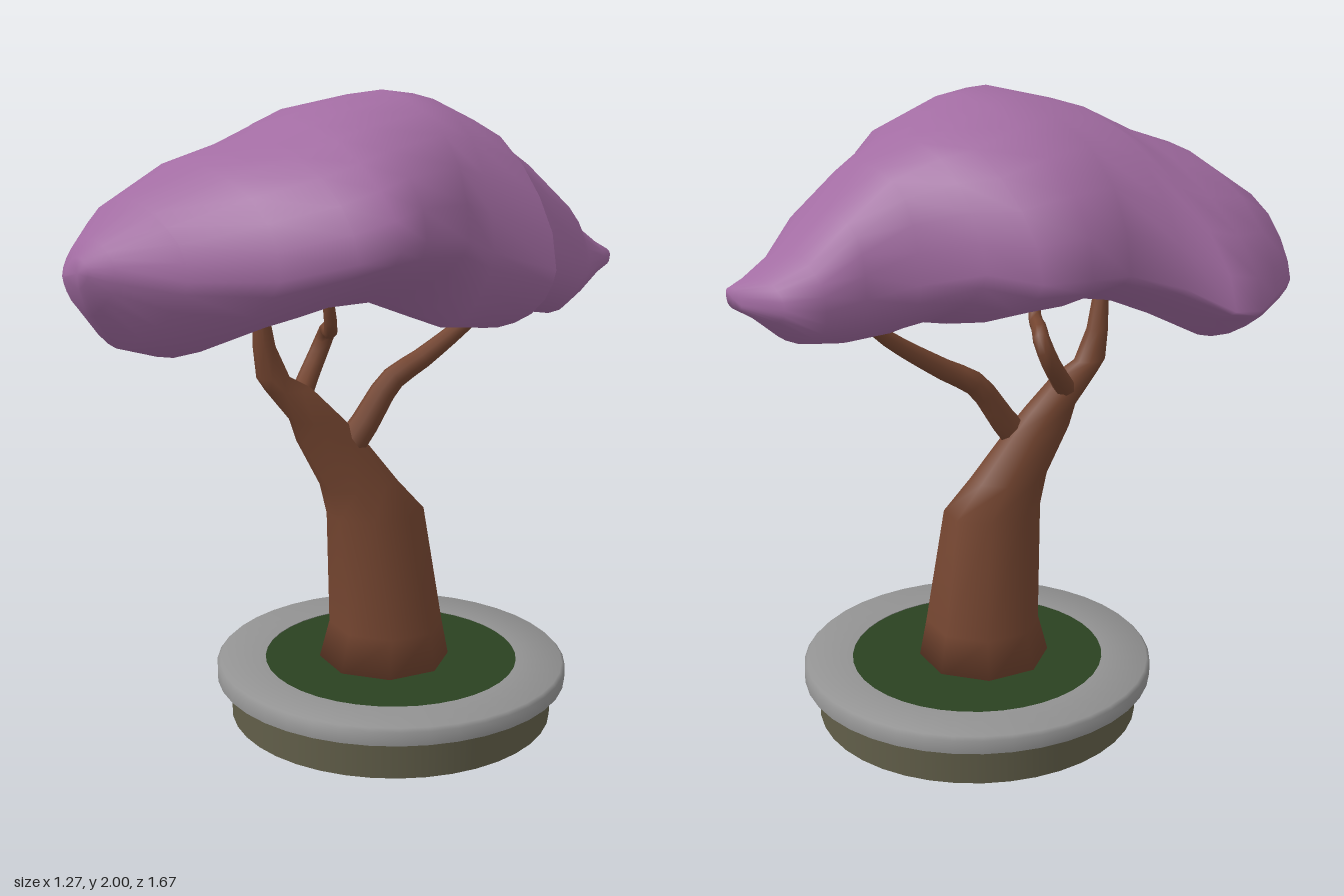
import * as THREE from 'three';
import { toCreasedNormals } from 'three/addons/utils/BufferGeometryUtils.js';

const mat = (name, color) => {
  const m = new THREE.MeshStandardMaterial({ color });
  m.name = name;
  return m;
};

// Skin a list of rings (arrays of Vector3) and close both ends
function loft(rings) {
  const n = rings[0].length, pos = [], idx = [];
  rings.forEach(r => r.forEach(p => pos.push(p.x, p.y, p.z)));
  for (let i = 0; i < rings.length - 1; i++) {
    for (let j = 0; j < n; j++) {
      const a = i * n + j, b = i * n + (j + 1) % n;
      idx.push(a, b, b + n, a, b + n, a + n);
    }
  }
  [0, rings.length - 1].forEach((i, end) => {
    const c = new THREE.Vector3();
    rings[i].forEach(p => c.addScaledVector(p, 1 / n));
    const k = pos.length / 3;
    pos.push(c.x, c.y, c.z);
    for (let j = 0; j < n; j++) {
      const a = i * n + j, b = i * n + (j + 1) % n;
      if (end) idx.push(a, b, k); else idx.push(b, a, k);
    }
  });
  const g = new THREE.BufferGeometry();
  g.setAttribute('position', new THREE.Float32BufferAttribute(pos, 3));
  g.setIndex(idx);
  g.computeVertexNormals();
  return g;
}

// Tube along points, narrowing from r0 to r1
function branchGeometry(points, r0, r1) {
  const curve = new THREE.CatmullRomCurve3(points.map(p => new THREE.Vector3(...p)), false, 'centripetal');
  const segs = 14, sides = 8;
  const g = new THREE.TubeGeometry(curve, segs, 1, sides);
  const p = g.attributes.position, v = new THREE.Vector3();
  for (let i = 0; i < p.count; i++) {
    const t = Math.floor(i / (sides + 1)) / segs, c = curve.getPointAt(t);
    v.fromBufferAttribute(p, i).sub(c).multiplyScalar(r0 + (r1 - r0) * t).add(c);
    p.setXYZ(i, v.x, v.y, v.z);
  }
  return g;
}

// Trunk rings: x, y, z, half width, half depth
const TRUNK = [
  [0.052, 0.16, -0.092, 0.215, 0.215],
  [0.056, 0.3, -0.095, 0.188, 0.181],
  [0.051, 0.68, -0.055, 0.133, 0.167],
  [0.035, 0.78, 0, 0.105, 0.133],
  [0, 0.93, 0.09, 0.08, 0.114],
  [-0.01, 1.0, 0.135, 0.071, 0.087],
  [-0.035, 1.1, 0.22, 0.059, 0.077],
  [-0.05, 1.14, 0.265, 0.046, 0.053],
  [-0.052, 1.24, 0.295, 0.036, 0.034],
  [-0.05, 1.38, 0.312, 0.022, 0.022],
];

// Canopy slices: z, then x and y of the -x edge, +x edge, top and bottom
const CANOPY = [
  [-0.835, 0.2, 1.44, 0.29, 1.46, 0.26, 1.48, 0.25, 1.42],
  [-0.79, 0.04, 1.45, 0.305, 1.46, 0.18, 1.515, 0.2, 1.39],
  [-0.71, -0.05, 1.45, 0.32, 1.45, 0.13, 1.585, 0.18, 1.32],
  [-0.57, -0.04, 1.46, 0.43, 1.48, 0.15, 1.69, 0.22, 1.29],
  [-0.45, -0.13, 1.5, 0.43, 1.52, 0.15, 1.81, 0.22, 1.31],
  [-0.33, -0.28, 1.54, 0.53, 1.52, 0.13, 1.88, 0.27, 1.315],
  [-0.26, -0.44, 1.53, 0.62, 1.5, 0.13, 1.92, 0.33, 1.29],
  [-0.12, -0.49, 1.53, 0.51, 1.55, 0.14, 1.985, 0.28, 1.3],
  [0.03, -0.48, 1.52, 0.57, 1.6, 0.18, 2.0, 0.1, 1.375],
  [0.22, -0.51, 1.46, 0.615, 1.62, 0.1, 1.955, 0, 1.355],
  [0.31, -0.63, 1.4, 0.62, 1.6, 0.05, 1.915, -0.07, 1.335],
  [0.41, -0.64, 1.39, 0.57, 1.57, 0, 1.865, -0.16, 1.29],
  [0.56, -0.56, 1.4, 0.42, 1.52, -0.08, 1.81, -0.24, 1.21],
  [0.69, -0.5, 1.42, 0.17, 1.5, -0.18, 1.7, -0.25, 1.25],
  [0.79, -0.38, 1.46, -0.05, 1.5, -0.2, 1.59, -0.22, 1.36],
  [0.835, -0.27, 1.48, -0.13, 1.5, -0.19, 1.54, -0.19, 1.45],
];

// How pointed a slice is in one quarter: blunt at the back, leaner below the front
function quarterPower(z, up, right) {
  if (z < -0.4) return 0.9;
  if (up) return !right && z > 0.28 ? 1.2 : 1.02;
  return right && z > 0.28 ? 1.4 : 1.25;
}

// One slice: four rounded quarters between its extreme points, with soft lumps
function canopyRing([z, xl, yl, xr, yr, xt, yt, xb, yb]) {
  const n = 24, ring = [];
  for (let j = 0; j < n; j++) {
    const a = (j / n) * Math.PI * 2;
    const up = Math.sin(a) >= 0, right = Math.cos(a) >= 0;
    const power = quarterPower(z, up, right);
    const lump = 1 + 0.03 * Math.sin(2 * a) ** 2 * Math.sin(z * 11 + a * 3);
    const c = Math.abs(Math.cos(a)) ** power * lump, s = Math.abs(Math.sin(a)) ** power * lump;
    const cx = up ? xt : xb, cy = right ? yr : yl;
    ring.push(new THREE.Vector3(cx + ((right ? xr : xl) - cx) * c, cy + ((up ? yt : yb) - cy) * s, z));
  }
  return ring;
}

export function createModel() {
  const model = new THREE.Group();
  model.name = 'pottedTree';
  const foliage = mat('purpleFoliage', 0xa26ca2);
  const bark = mat('brownBark', 0x744530);
  const stone = mat('greyRim', 0x929292);
  const clay = mat('olivePot', 0x615e49);
  const moss = mat('greenMoss', 0x2a4221);
  const add = (parent, name, geometry, material) => {
    const m = new THREE.Mesh(geometry, material);
    m.name = name;
    parent.add(m);
    return m;
  };

  // Round pot with an overhanging rim and moss inside
  const pot = new THREE.Group();
  pot.name = 'pot';
  pot.position.set(0.065, 0, -0.11);
  model.add(pot);
  add(pot, 'potBody', new THREE.CylinderGeometry(0.522, 0.522, 0.14, 40), clay).position.y = 0.07;
  const rim = [[0.5, 0.127], [0.568, 0.127], [0.568, 0.17], [0.558, 0.18], [0.41, 0.18], [0.41, 0.16]];
  const rimGeometry = new THREE.LatheGeometry(rim.map(p => new THREE.Vector2(...p)), 40);
  add(pot, 'potRim', toCreasedNormals(rimGeometry, 0.9), stone);
  add(pot, 'moss', new THREE.CylinderGeometry(0.415, 0.415, 0.02, 40), moss).position.y = 0.168;

  // Leaning trunk that runs on into the front branch
  const trunkRings = TRUNK.map(([x, y, z, rx, rz]) => Array.from({ length: 8 }, (_, j) => {
    const a = (j / 8) * Math.PI * 2 + 0.2;
    return new THREE.Vector3(x + rx * Math.cos(a), y, z - rz * Math.sin(a));
  }));
  add(model, 'trunk', loft(trunkRings), bark);

  // Side branches
  add(model, 'backBranch', branchGeometry([
    [0.015, 0.84, 0.085], [0.04, 0.96, -0.01], [0.06, 1.1, -0.11],
    [0.085, 1.16, -0.21], [0.12, 1.28, -0.39], [0.135, 1.36, -0.48],
  ], 0.052, 0.02), bark);
  add(model, 'crookedBranch', branchGeometry([
    [-0.03, 1.04, 0.19], [-0.085, 1.11, 0.11], [-0.11, 1.18, 0.05], [-0.09, 1.25, 0.03],
    [-0.03, 1.27, 0.07], [0.05, 1.28, 0.12], [0.075, 1.33, 0.14], [0.08, 1.4, 0.155],
  ], 0.036, 0.018), bark);

  // Broad canopy
  add(model, 'canopy', loft(CANOPY.map(canopyRing)), foliage);
  return model;
}
